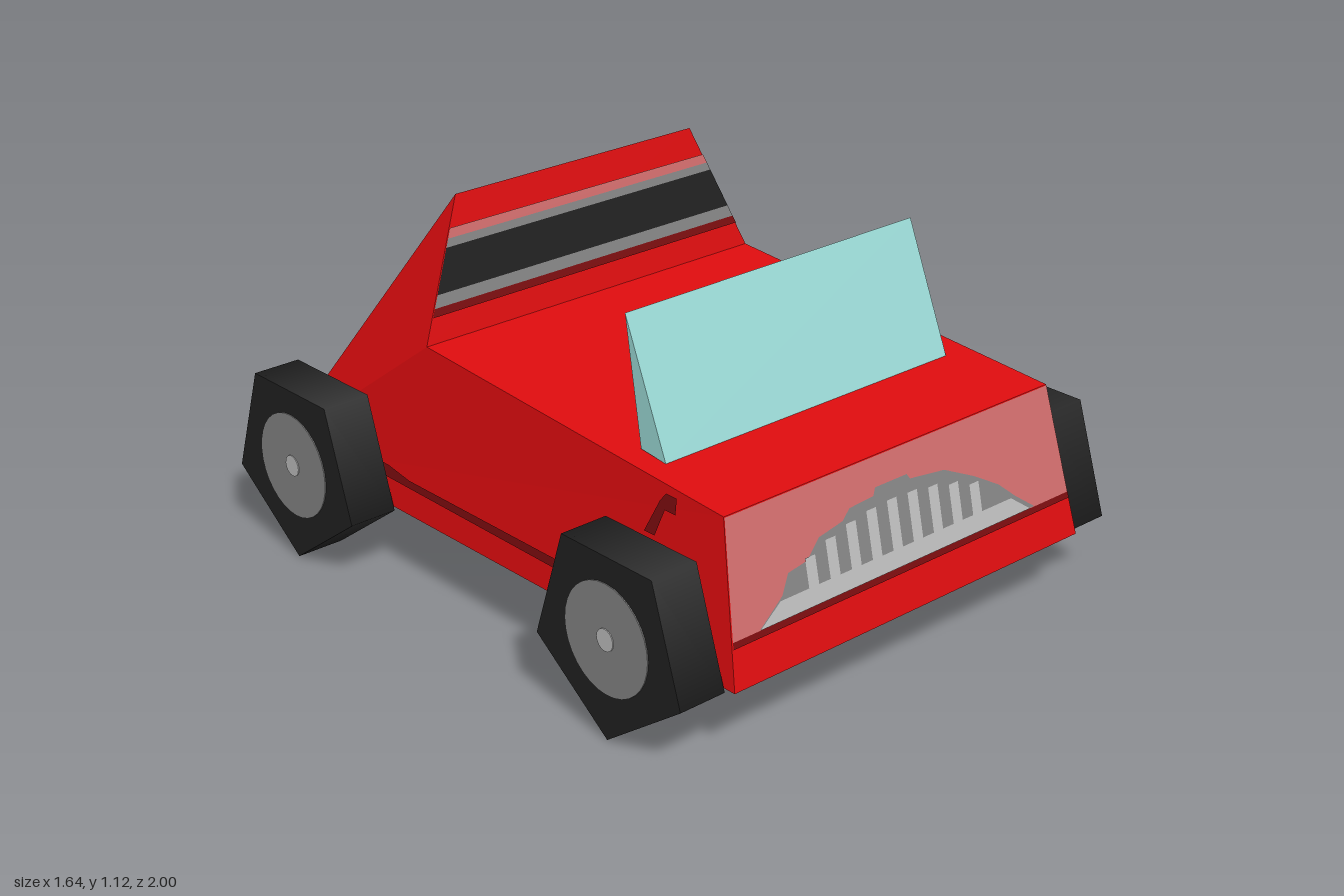
import * as THREE from 'three';

const flat = (name, color) => new THREE.MeshStandardMaterial({ name, color, side: THREE.DoubleSide });

// Flat-faced solid from a list of convex outlines
function solid(faces) {
  const pos = [];
  for (const f of faces)
    for (let i = 1; i < f.length - 1; i++) pos.push(...f[0], ...f[i], ...f[i + 1]);
  const g = new THREE.BufferGeometry();
  g.setAttribute('position', new THREE.Float32BufferAttribute(pos, 3));
  g.computeVertexNormals();
  return g;
}

export function createModel() {
  const car = new THREE.Group();
  car.name = 'car';
  const red = flat('red paint', 0xdc0c0e);
  const darkRed = flat('dark red trim', 0x7a0c0e);
  const pink = flat('pale red panel', 0xd06c6c);
  const glass = flat('pale teal glass', 0x98d6d2);
  const rubber = flat('black rubber', 0x202020);
  const grey = flat('grey metal', 0x838383);
  const silver = flat('silver metal', 0xbcbcbc);

  const add = (name, geometry, material) => {
    const m = new THREE.Mesh(geometry, material);
    m.name = name;
    car.add(m);
    return m;
  };

  // Wedge body with a raised tail
  const A = [0.66, 0.21, 1], B = [0.61, 0.65, 0.9], C = [0.61, 0.73, -0.3];
  const D = [0.44, 1.12, -0.37], E = [0.66, 0.21, -1];
  const flip = ([x, y, z]) => [-x, y, z];
  const [a, b, c, d, e] = [A, B, C, D, E].map(flip);
  add('body', solid([
    [a, A, B, b], [b, B, C, c], [c, C, D, d], [d, D, E, e], [e, E, A, a],
    [A, E, C, B], [E, D, C], [b, c, e, a], [c, d, e],
  ]), red);

  // Painted plates: 2D outlines laid onto a sloping face
  function decal(name, pts, material, place) {
    const g = new THREE.ShapeGeometry(new THREE.Shape(pts.map(p => new THREE.Vector2(...p))));
    const p = g.attributes.position;
    for (let i = 0; i < p.count; i++) p.setXYZ(i, ...place(p.getX(i), p.getY(i)));
    g.computeVertexNormals();
    add(name, g, material);
  }
  const onNose = lift => (x, y) => [x, y, 1 - (y - 0.21) * 0.2273 + lift];
  const onTail = (x, y) => [x, y, -0.3 - (y - 0.73) * 0.1795 + 0.004];
  const band = (y0, y1, w0, w1) => [[-w0, y0], [w0, y0], [w1, y1], [-w1, y1]];

  // Nose panel and grille
  decal('nosePanel', band(0.335, 0.648, 0.643, 0.609), pink, onNose(0.002));
  decal('noseTrim', band(0.32, 0.338, 0.645, 0.643), darkRed, onNose(0.003));
  const arch = [[-0.55, 0.34], [0.5, 0.34], [0.43, 0.39], [0.37, 0.44], [0.28, 0.49], [0.17, 0.54],
    [0.04, 0.555], [0.03, 0.57], [-0.09, 0.57], [-0.1, 0.55], [-0.19, 0.545], [-0.22, 0.52],
    [-0.31, 0.505], [-0.36, 0.46], [-0.43, 0.45], [-0.46, 0.4]];
  decal('grille', arch, grey, onNose(0.004));
  decal('grilleLip', [[-0.55, 0.34], [0.48, 0.34], [0.41, 0.39], [-0.47, 0.39]], silver, onNose(0.006));
  for (let i = 0; i < 9; i++) {
    const x = -0.35 + i * 0.078, top = 0.525 - 0.55 * (x + 0.03) ** 2;
    decal('grilleBar', [[x - 0.018, 0.39], [x + 0.018, 0.39], [x + 0.018, top], [x - 0.018, top]],
      silver, onNose(0.006));
  }

  // Bands across the front of the tail
  const tailBand = (name, t0, t1, material) => decal(name,
    band(0.73 + 0.39 * t0, 0.73 + 0.39 * t1, 0.61 - 0.17 * t0, 0.61 - 0.17 * t1), material, onTail);
  tailBand('tailTrim', 0.19, 0.25, darkRed);
  tailBand('tailLowerBand', 0.25, 0.34, grey);
  tailBand('tailWindow', 0.34, 0.65, rubber);
  tailBand('tailUpperBand', 0.65, 0.71, grey);
  tailBand('tailHighlight', 0.71, 0.78, pink);

  // Side trim
  for (const s of [1, -1]) {
    const onSide = (z, y) => [s * (0.66 - (y - 0.21) * 0.1 + 0.004), y, z];
    decal('sideTrim', [[-0.75, 0.295], [0.7, 0.285], [0.7, 0.315], [-0.35, 0.315], [-0.45, 0.33], [-0.75, 0.33]],
      darkRed, onSide);
    decal('sideLatch', [[0.74, 0.6], [0.7, 0.6], [0.67, 0.52], [0.63, 0.52], [0.68, 0.62], [0.7, 0.645], [0.74, 0.645]],
      darkRed, onSide);
  }

  // Wedge windscreen
  const [l, r, w] = [[-0.54], [0.52], [[0.67, 0.61], [0.68, 0.515], [1.04, 0.455]]];
  const L = w.map(p => [...l, ...p]), R = w.map(p => [...r, ...p]);
  add('windscreen', solid([
    [L[0], R[0], R[2], L[2]], [R[1], L[1], L[2], R[2]], [L[1], R[1], R[0], L[0]],
    [R[0], R[1], R[2]], [L[1], L[0], L[2]],
  ]), glass);

  // Five-sided wheels with round hubs on both faces
  const disc = (radius, width, sides) =>
    new THREE.CylinderGeometry(radius, radius, width, sides).rotateZ(Math.PI / 2);
  const tyre = disc(0.293, 0.15, 5).rotateX(Math.PI / 2);
  const hub = disc(0.16, 0.156, 32), cap = disc(0.032, 0.162, 16);
  for (const x of [0.74, -0.74])
    for (const z of [0.69, -0.69]) {
      add('tyre', tyre, rubber).position.set(x, 0.293, z);
      add('hub', hub, grey).position.set(x, 0.295, z);
      add('hubCap', cap, silver).position.set(x, 0.295, z);
    }
  return car;
}
